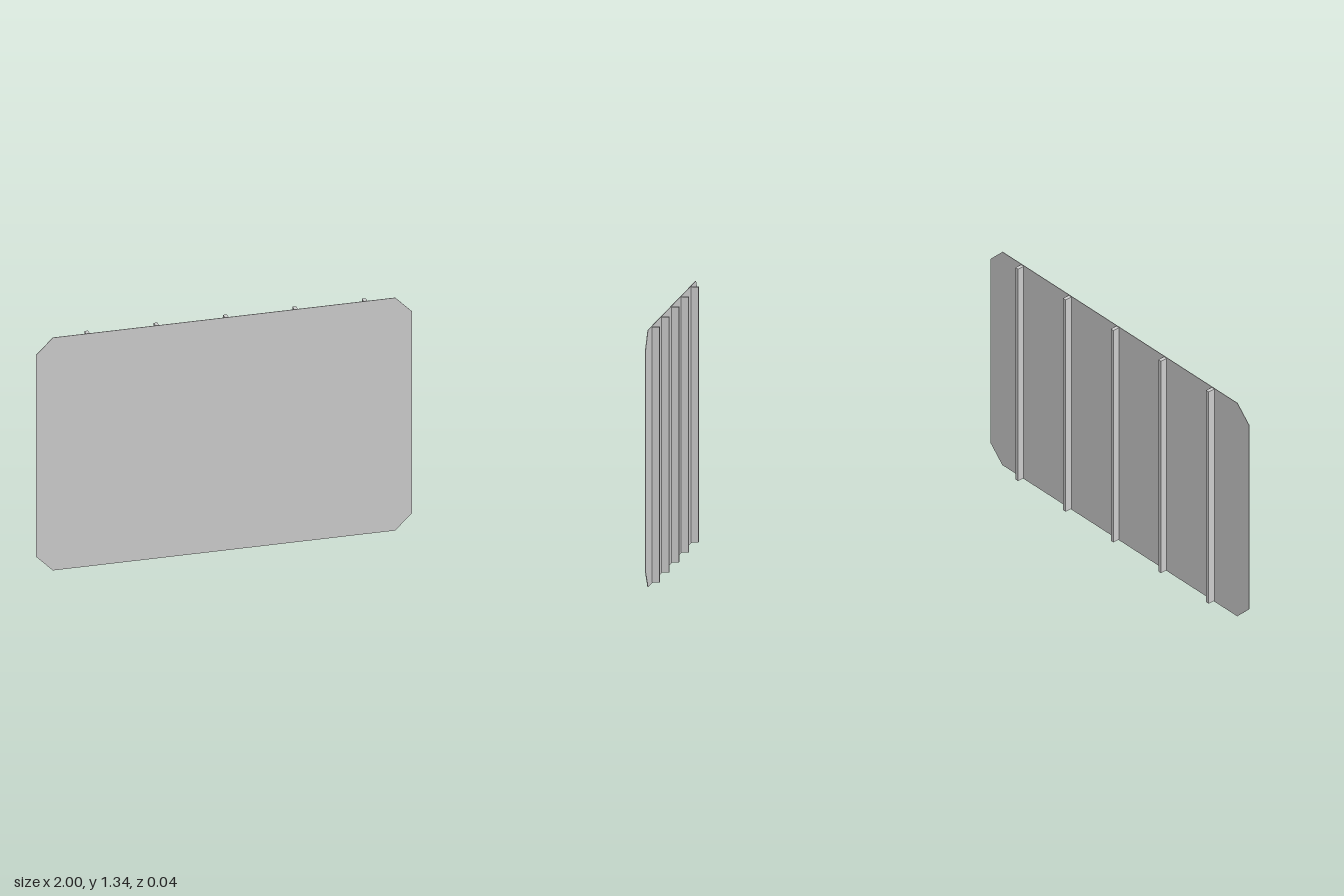
import * as THREE from 'three';

const H = 1.335, CUT = 0.09, FRONT = 0.021, SHEET = 0.003;

export function createModel() {
  const model = new THREE.Group();
  const material = new THREE.MeshStandardMaterial({ color: 0xcccccc, flatShading: true });

  // Thin board with chamfered corners
  const outline = new THREE.Shape([
    [-1 + CUT, 0], [1 - CUT, 0], [1, CUT], [1, H - CUT],
    [1 - CUT, H], [-1 + CUT, H], [-1, H - CUT], [-1, CUT],
  ].map(([x, y]) => new THREE.Vector2(x, y)));
  const panel = new THREE.Mesh(
    new THREE.ExtrudeGeometry(outline, { depth: SHEET, bevelEnabled: false }), material);
  panel.name = 'panel';
  panel.position.z = FRONT - SHEET;
  model.add(panel);

  // Five upright battens on the back, set slightly off centre
  const depth = 2 * FRONT - SHEET;
  const battenGeometry = new THREE.BoxGeometry(0.02, H - 0.008, depth);
  for (let i = 0; i < 5; i++) {
    const batten = new THREE.Mesh(battenGeometry, material);
    batten.name = `batten${i + 1}`;
    batten.position.set(0.016 + (i - 2) * 0.369, H / 2, -SHEET / 2);
    model.add(batten);
  }
  return model;
}
